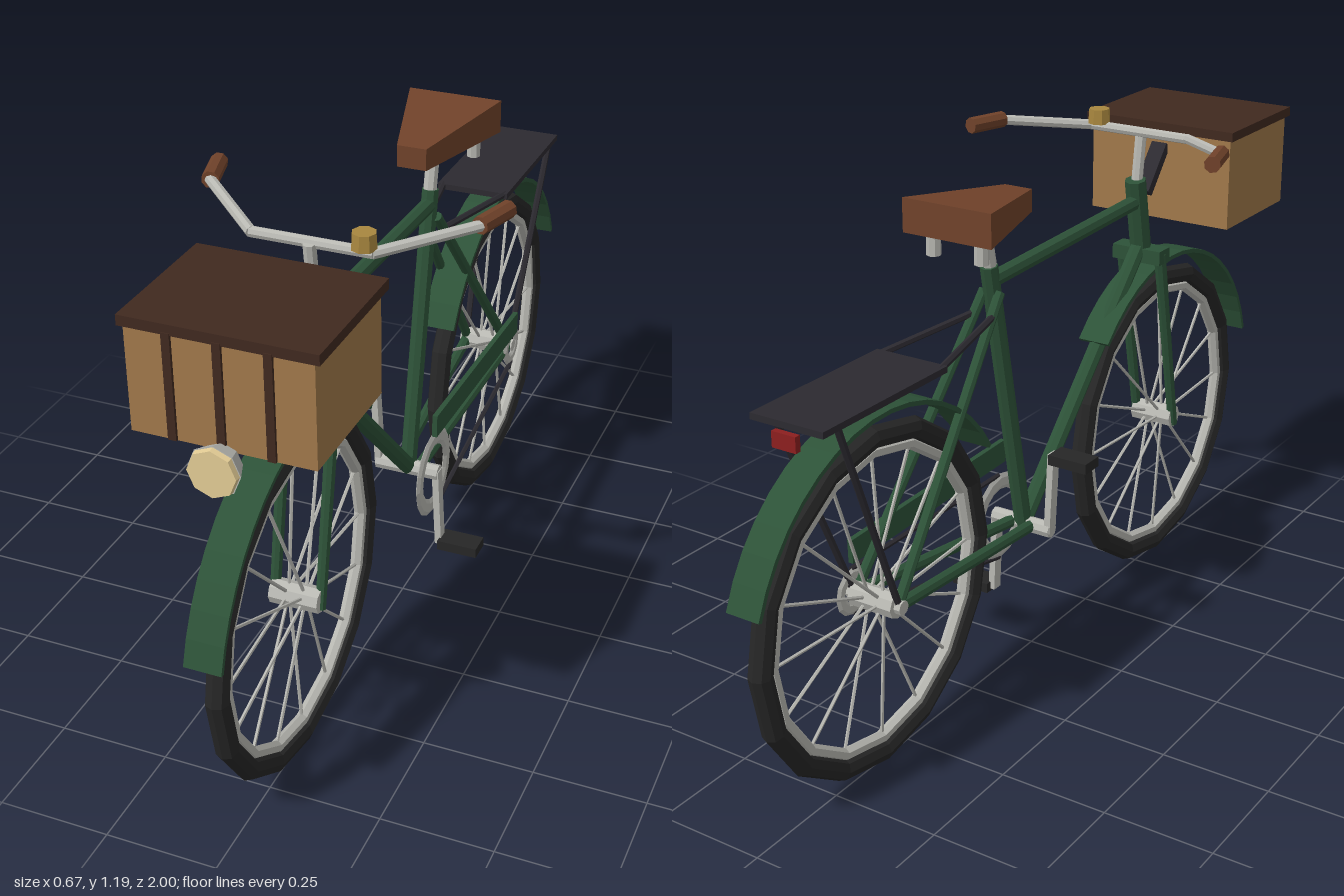
import * as THREE from 'three';

const mat = (color) => new THREE.MeshStandardMaterial({ color, flatShading: true, side: THREE.DoubleSide });
const M = {
  green: mat(0x2d5238), steel: mat(0xb8b8b2), rubber: mat(0x262626), black: mat(0x2c2a30),
  wicker: mat(0xa0784a), darkWood: mat(0x40291f), leather: mat(0x70422a),
  brass: mat(0xa8873f), lens: mat(0xe2cb94), red: mat(0x8c1f1f),
};
const UP = new THREE.Vector3(0, 1, 0);
const WHEEL_Y = 0.39, FRONT_Z = 0.586, REAR_Z = -0.59, CRANK = [0, 0.335, -0.035];

export function createModel() {
  const bike = new THREE.Group();
  bike.name = 'bicycle';

  const add = (name, geometry, material, pos = [0, 0, 0], parent = bike) => {
    const mesh = new THREE.Mesh(geometry, material);
    mesh.name = name;
    mesh.position.set(...pos);
    parent.add(mesh);
    return mesh;
  };
  const box = (name, material, size, pos, parent) =>
    add(name, new THREE.BoxGeometry(...size), material, pos, parent);
  // Straight tube from point a to point b
  const tube = (name, material, a, b, r, rEnd = r, sides = 8, parent = bike) => {
    const A = new THREE.Vector3(...a), B = new THREE.Vector3(...b);
    const mesh = add(name, new THREE.CylinderGeometry(rEnd, r, A.distanceTo(B), sides), material,
      A.clone().add(B).multiplyScalar(0.5).toArray(), parent);
    mesh.quaternion.setFromUnitVectors(UP, B.sub(A).normalize());
    return mesh;
  };
  // Ring standing in the side plane
  const ring = (name, material, R, r, sides, segments, pos, parent, flat = 1) =>
    add(name, new THREE.TorusGeometry(R, r, sides, segments).scale(1, 1, flat).rotateY(Math.PI / 2),
      material, pos, parent);

  // Wheels
  const makeWheel = (name, z) => {
    const wheel = new THREE.Group();
    wheel.name = name;
    wheel.position.set(0, WHEEL_Y, z);
    bike.add(wheel);
    ring('tyre', M.rubber, 0.365, 0.025, 8, 16, [0, 0, 0], wheel);
    ring('rim', M.steel, 0.333, 0.014, 6, 16, [0, 0, 0], wheel);
    tube('hub', M.steel, [-0.055, 0, 0], [0.055, 0, 0], 0.028, 0.028, 8, wheel);
    for (let i = 0; i < 16; i++) {
      const a = (i / 16) * Math.PI * 2, c = Math.cos(a), s = Math.sin(a);
      tube('spoke', M.steel, [i % 2 ? 0.018 : -0.018, s * 0.02, c * 0.02], [0, s * 0.33, c * 0.33],
        0.004, 0.004, 5, wheel);
    }
  };
  makeWheel('frontWheel', FRONT_Z);
  makeWheel('rearWheel', REAR_Z);

  // Mudguards: thin arcs, angles in degrees measured from straight ahead
  const mudguard = (name, z, from, to) => {
    const a = THREE.MathUtils.degToRad(from), b = THREE.MathUtils.degToRad(to);
    const s = new THREE.Shape();
    s.absarc(0, 0, 0.43, a, b, false);
    s.absarc(0, 0, 0.42, b, a, true);
    const g = new THREE.ExtrudeGeometry(s, { depth: 0.08, bevelEnabled: false, curveSegments: 8 });
    add(name, g.translate(0, 0, -0.04).rotateY(-Math.PI / 2), M.green, [0, WHEEL_Y, z]);
  };
  mudguard('frontMudguard', FRONT_Z, 15, 137);
  mudguard('rearMudguard', REAR_Z, 31, 160);

  // Frame
  tube('headTube', M.green, [0, 0.83, 0.495], [0, 1.035, 0.456], 0.026);
  tube('topTube', M.green, [0, 0.98, 0.46], [0, 0.96, -0.16], 0.018);
  tube('seatTube', M.green, CRANK, [0, 0.995, -0.166], 0.02);
  tube('downTube', M.green, [0, 0.87, 0.487], CRANK, 0.02);
  box('forkCrown', M.green, [0.13, 0.035, 0.05], [0, 0.845, 0.492]);
  for (const s of [-1, 1]) {
    tube('forkLeg', M.green, [s * 0.052, WHEEL_Y - 0.02, FRONT_Z], [s * 0.052, 0.85, 0.492], 0.012, 0.015);
    tube('seatStay', M.green, [s * 0.055, WHEEL_Y, REAR_Z], [s * 0.02, 0.935, -0.155], 0.012);
    tube('chainStay', M.green, [s * 0.055, WHEEL_Y, REAR_Z], [s * 0.025, 0.335, -0.035], 0.014);
  }

  // Cranks, pedals and chain
  tube('bottomBracket', M.steel, [-0.078, 0.335, -0.035], [0.078, 0.335, -0.035], 0.019);
  for (const s of [-1, 1]) {
    const y = s > 0 ? 0.147 : 0.524;
    const crank = box('crankArm', M.steel, [0.016, 0.2, 0.026], [s * 0.077, (y + 0.335) / 2, -0.035]);
    crank.rotation.z = 0.05;
    box('pedal', M.rubber, [0.098, 0.024, 0.055], [s * 0.134, y, -0.035]);
  }
  ring('chainring', M.steel, 0.088, 0.02, 6, 16, [0.063, 0.335, -0.035], bike, 0.3);
  ring('sprocket', M.steel, 0.039, 0.015, 6, 12, [0.063, WHEEL_Y, REAR_Z], bike, 0.4);
  tube('rearAxle', M.steel, [-0.07, WHEEL_Y, REAR_Z], [0.07, WHEEL_Y, REAR_Z], 0.016);
  tube('chainLower', M.black, [0.065, 0.228, -0.04], [0.065, 0.34, REAR_Z], 0.006, 0.006, 5);
  tube('chainUpper', M.black, [0.065, 0.44, -0.04], [0.065, 0.442, REAR_Z], 0.006, 0.006, 5);
  const guard = box('chainGuard', M.green, [0.012, 0.055, 0.575], [0.08, 0.477, -0.284]);
  guard.rotation.x = -0.025;

  // Handlebar, grips and bell
  tube('stem', M.steel, [0, 1.0, 0.46], [0, 1.15, 0.48], 0.014);
  tube('handlebarCentre', M.steel, [-0.13, 1.148, 0.47], [0.13, 1.148, 0.47], 0.012);
  for (const s of [-1, 1]) {
    tube('handlebarSide', M.steel, [s * 0.127, 1.148, 0.472], [s * 0.298, 1.17, 0.315], 0.012);
    tube('grip', M.leather, [s * 0.29, 1.17, 0.325], [s * 0.317, 1.17, 0.23], 0.019);
  }
  tube('bell', M.brass, [0.11, 1.155, 0.47], [0.11, 1.19, 0.47], 0.027, 0.025);

  // Front carrier box
  box('basket', M.wicker, [0.375, 0.225, 0.295], [0, 1.024, 0.722]);
  box('basketLid', M.darkWood, [0.397, 0.022, 0.312], [0, 1.141, 0.718]);
  for (const x of [-0.1, 0, 0.1]) box('basketSlat', M.darkWood, [0.017, 0.222, 0.008], [x, 1.024, 0.872]);
  const bracket = box('basketBracket', M.black, [0.04, 0.13, 0.022], [0, 1.045, 0.535]);
  bracket.rotation.x = 0.7;

  // Headlamp
  tube('lampBody', M.steel, [0, 0.889, 0.868], [0, 0.889, 0.908], 0.038, 0.054);
  tube('lampLens', M.lens, [0, 0.889, 0.906], [0, 0.889, 0.92], 0.052, 0.05);

  // Saddle: a box tapered toward the nose, with a rising top
  const saddle = new THREE.BoxGeometry(1, 1, 1);
  const p = saddle.attributes.position;
  for (let i = 0; i < p.count; i++) {
    const nose = p.getZ(i) > 0, top = p.getY(i) > 0;
    p.setXYZ(i, Math.sign(p.getX(i)) * (nose ? 0.034 : 0.11),
      top ? (nose ? 1.14 : 1.165) : 1.09, nose ? -0.05 : -0.318);
  }
  saddle.computeVertexNormals();
  add('saddle', saddle, M.leather);
  tube('seatPost', M.steel, [0, 0.98, -0.16], [0, 1.1, -0.187], 0.016);
  for (const s of [-1, 1]) tube('saddleSpring', M.steel, [s * 0.06, 1.04, -0.28], [s * 0.06, 1.1, -0.28], 0.016);

  // Rear rack and reflector
  box('rackPlate', M.black, [0.176, 0.014, 0.395], [0, 0.872, -0.643]);
  for (const s of [-1, 1]) {
    tube('rackLeg', M.black, [s * 0.058, WHEEL_Y, REAR_Z], [s * 0.08, 0.87, -0.79], 0.008, 0.008, 6);
    tube('rackStrut', M.black, [s * 0.025, 0.892, -0.19], [s * 0.078, 0.872, -0.46], 0.008, 0.008, 6);
  }
  box('reflector', M.red, [0.058, 0.034, 0.014], [0, 0.842, -0.843]);

  return bike;
}
